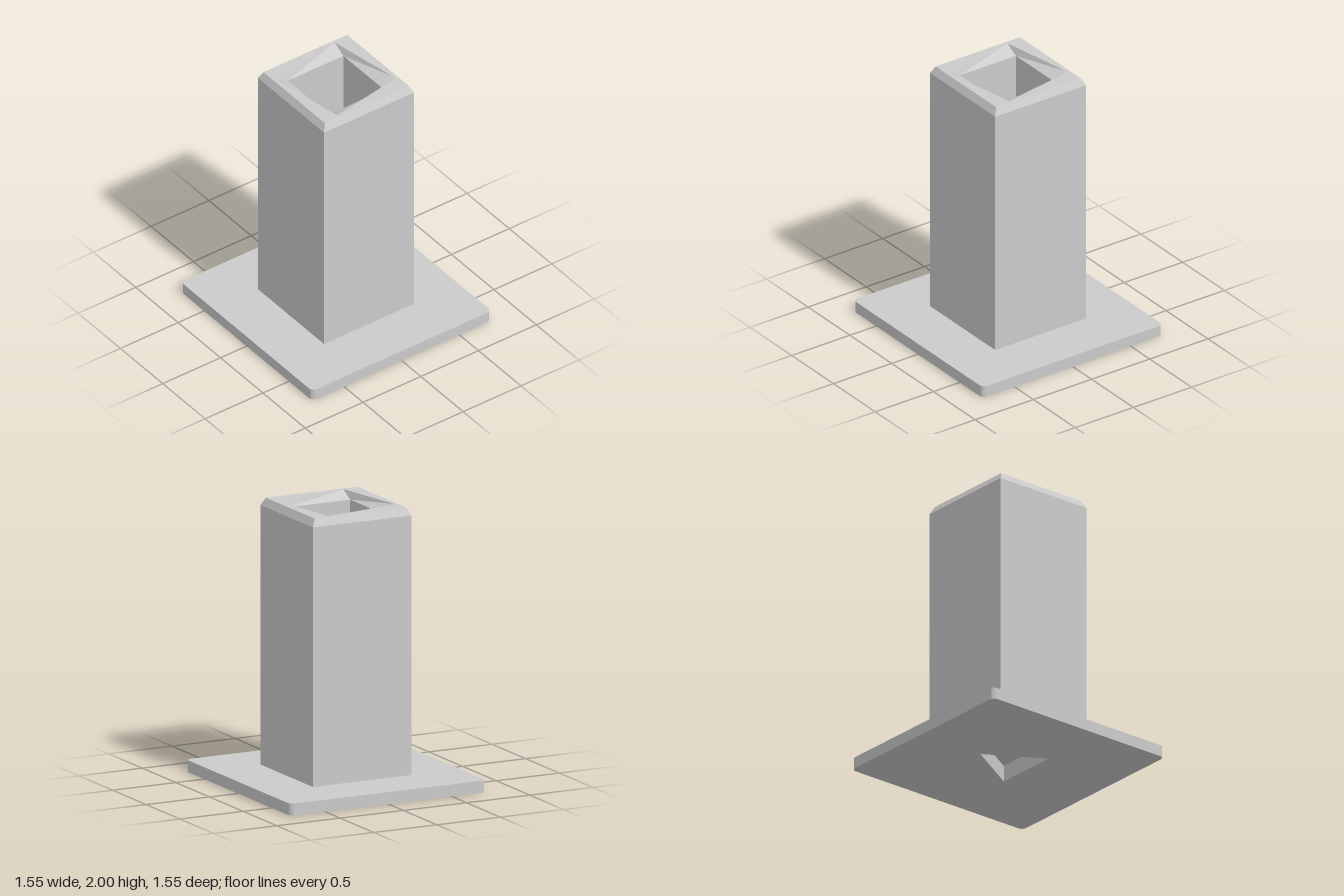
import * as THREE from 'three';

const material = new THREE.MeshStandardMaterial({ color: 0xcccccc, flatShading: true });

// Four-cornered ring: one corner turned in quarter steps about y
function ring(x, z, y) {
  const pts = [];
  for (let i = 0; i < 4; i++) {
    pts.push([x, y, z]);
    [x, z] = [z, -x];
  }
  return pts;
}

// Skin a series of equal rings and close the last one with a fan
function loft(rings) {
  const pos = [];
  const tri = (...p) => p.forEach((v) => pos.push(...v));
  for (let r = 0; r < rings.length - 1; r++) {
    const a = rings[r], b = rings[r + 1], n = a.length;
    for (let i = 0; i < n; i++) {
      const j = (i + 1) % n;
      tri(a[i], a[j], b[j]);
      tri(a[i], b[j], b[i]);
    }
  }
  const last = rings[rings.length - 1];
  for (let i = 1; i < last.length - 1; i++) tri(last[0], last[i], last[i + 1]);
  const g = new THREE.BufferGeometry();
  g.setAttribute('position', new THREE.Float32BufferAttribute(pos, 3));
  g.computeVertexNormals();
  return g;
}

function part(name, geometry) {
  const mesh = new THREE.Mesh(geometry, material);
  mesh.name = name;
  return mesh;
}

export function createModel() {
  const model = new THREE.Group();
  model.name = 'socketPost';
  const plateTop = 0.085, half = 0.775, corner = 0.04;
  const triangle = [[0.165, 0.245], [0.165, -0.245], [-0.25, 0]]; // x, z

  // Base plate with clipped round corners and a triangular cut-out
  const outline = new THREE.Shape();
  const c = half - corner;
  [[c, c], [-c, c], [-c, -c], [c, -c]].forEach(([x, y], i) =>
    outline.absarc(x, y, corner, (i * Math.PI) / 2, ((i + 1) * Math.PI) / 2, false));
  outline.holes.push(new THREE.Path(triangle.map(([x, z]) => new THREE.Vector2(x, -z))));
  const plate = new THREE.ExtrudeGeometry(outline, { depth: plateTop, bevelEnabled: false, curveSegments: 3 });
  plate.rotateX(-Math.PI / 2);
  model.add(part('basePlate', plate));

  // Underside recess reaching slightly into the post
  const recessRing = (y) => triangle.map(([x, z]) => [x, y, z]).reverse();
  model.add(part('undersideRecess', loft([recessRing(plateTop), recessRing(0.12)])));

  // Hollow square post: chamfered rim, twisted flare, deep square socket
  model.add(part('post', loft([
    ring(0.39, 0.39, plateTop),
    ring(0.39, 0.39, 1.945),
    ring(0.362, 0.362, 2),
    ring(0.345, 0.24, 2),
    ring(0.24, 0.24, 1.945),
    ring(0.24, 0.24, 0.2),
  ])));

  return model;
}
